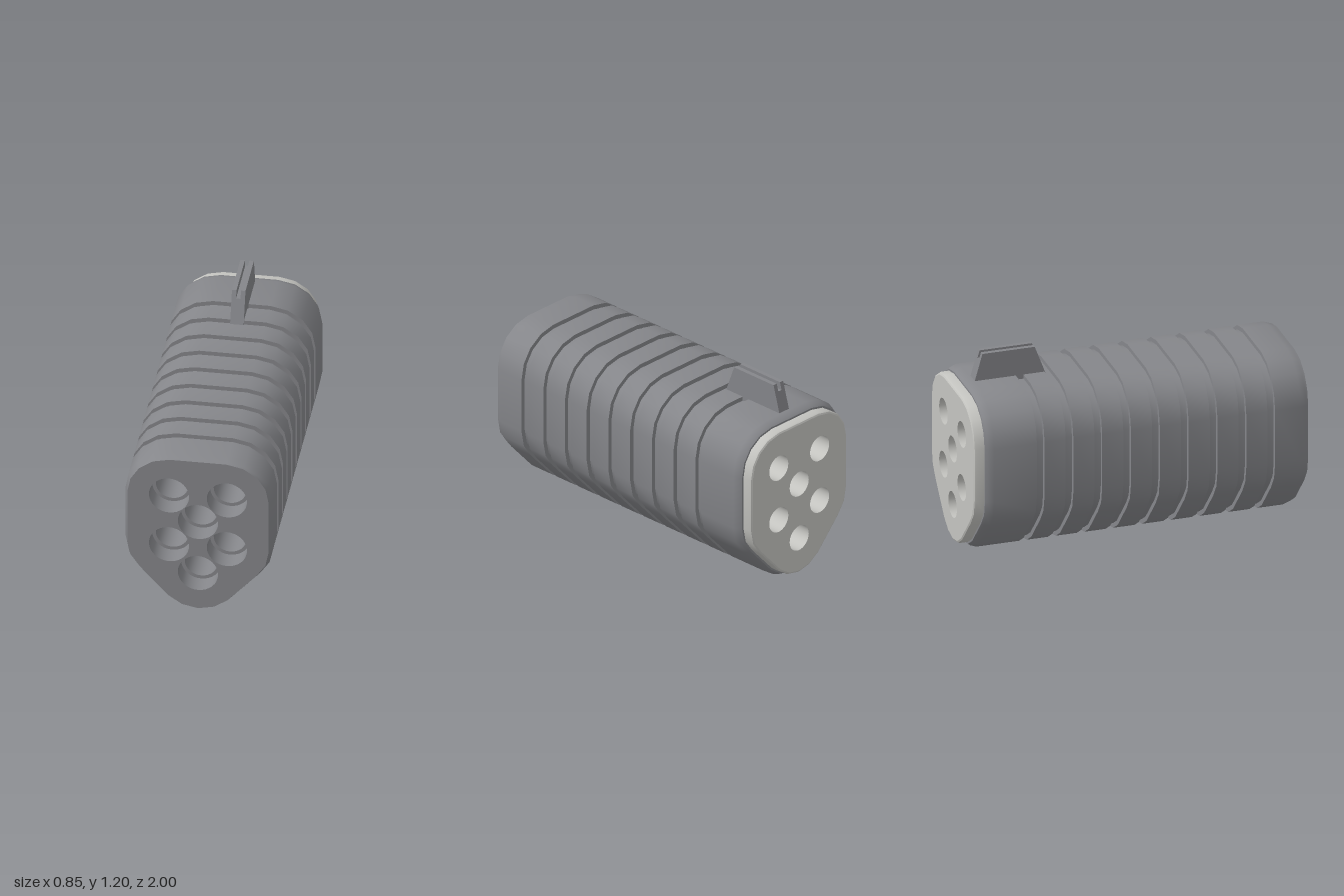
import * as THREE from 'three';
import { toCreasedNormals } from 'three/addons/utils/BufferGeometryUtils.js';

// Right half of the body cross-section, from bottom apex to top
const HALF = [[0, 0.004], [0.099, 0.025], [0.182, 0.08], [0.348, 0.262], [0.405, 0.344], [0.425, 0.446],
  [0.425, 0.778], [0.406, 0.875], [0.352, 0.957], [0.267, 1.014], [0.166, 1.036]];
const OUTLINE = [...HALF, ...HALF.slice(1).reverse().map(([x, y]) => [-x, y])];
const BORES = [[-0.167, 0.775], [0.167, 0.775], [0, 0.61], [-0.167, 0.442], [0.167, 0.442], [0, 0.262]];

// Outline moved inwards by d, with mitred corners
function inset(d) {
  const n = OUTLINE.length;
  const normal = (a, b) => new THREE.Vector2(b[1] - a[1], a[0] - b[0]).normalize();
  return OUTLINE.map((p, i) => {
    const n1 = normal(OUTLINE[(i + n - 1) % n], p);
    const n2 = normal(p, OUTLINE[(i + 1) % n]);
    const k = d / (1 + n1.dot(n2));
    return new THREE.Vector2(p[0] - (n1.x + n2.x) * k, p[1] - (n1.y + n2.y) * k);
  });
}

// Skin through [z, inset] sections, running from front to back
function loft(sections) {
  const n = OUTLINE.length, pos = [], idx = [];
  sections.forEach(([z, d]) => inset(d).forEach((p) => pos.push(p.x, p.y, z)));
  for (let i = 0; i < sections.length - 1; i++) {
    for (let j = 0; j < n; j++) {
      const a = i * n + j, b = i * n + (j + 1) % n;
      idx.push(a, a + n, b, b, a + n, b + n);
    }
  }
  const g = new THREE.BufferGeometry();
  g.setAttribute('position', new THREE.Float32BufferAttribute(pos, 3));
  g.setIndex(idx);
  return toCreasedNormals(g, 0.6);
}

// Flat end face pierced by the bores
function cap(z, d, r, facesBack) {
  const shape = new THREE.Shape(inset(d));
  for (const [x, y] of BORES) shape.holes.push(new THREE.Path().absarc(x, y, r, 0, Math.PI * 2, true));
  const g = new THREE.ShapeGeometry(shape, 16);
  if (facesBack) g.rotateY(Math.PI); // outline is symmetric in x
  return g.translate(0, 0, z);
}

// Inner wall turned about z from [radius, z] points
function bore(points) {
  const g = new THREE.LatheGeometry(points.map(([r, z]) => new THREE.Vector2(r, z)), 32);
  return toCreasedNormals(g.rotateX(Math.PI / 2), 0.6);
}

export function createModel() {
  const model = new THREE.Group();
  const darkGrey = new THREE.MeshStandardMaterial({ name: 'dark grey', color: 0x85868a, side: THREE.DoubleSide });
  const lightGrey = new THREE.MeshStandardMaterial({ name: 'light grey', color: 0xc4c4c0, side: THREE.DoubleSide });
  const add = (name, geometry, material, parent = model) => {
    const mesh = new THREE.Mesh(geometry, material);
    mesh.name = name;
    parent.add(mesh);
    return mesh;
  };

  // Ribbed body: bevelled ends and nine square grooves
  const sections = [[1, 0.017], [0.985, 0.012], [0.95, 0]];
  for (let i = 0; i < 9; i++) {
    const z = 0.796 - i * 0.173;
    sections.push([z, 0], [z, 0.026], [z - 0.046, 0.026], [z - 0.046, 0]);
  }
  sections.push([-0.89, 0], [-0.925, 0.012], [-0.938, 0.022]);
  add('body', loft(sections), darkGrey);
  add('frontFace', cap(1, 0.017, 0.116, false), darkGrey);
  add('bodyBackFace', cap(-0.938, 0.022, 0.095, true), darkGrey);

  // Light back plate
  add('backPlate', loft([[-0.93, 0.033], [-0.985, 0.033], [-0.995, 0.037], [-1, 0.046]]), lightGrey);
  add('backPlateFace', cap(-1, 0.046, 0.078, true), lightGrey);

  // Stepped bores, with narrower light liners towards the back
  BORES.forEach(([x, y]) => {
    const barrel = new THREE.Group();
    barrel.name = 'barrel';
    barrel.position.set(x, y, 0);
    add('barrelBore', bore([[0.116, 1], [0.116, 0.88], [0.095, 0.88], [0.095, -0.5]]), darkGrey, barrel);
    add('barrelLiner', bore([[0.095, -0.5], [0.078, -0.5], [0.078, -1]]), lightGrey, barrel);
    model.add(barrel);
  });

  // Tapered sight: two cheeks and a lower web forming the slot
  const sight = new THREE.Group();
  sight.name = 'sight';
  const sightSlab = (name, x0, x1, top) => {
    const t = (top - 1) / 0.2;
    const shape = new THREE.Shape([
      new THREE.Vector2(0.445, 1), new THREE.Vector2(0.89, 1),
      new THREE.Vector2(0.89 - 0.056 * t, top), new THREE.Vector2(0.445 + 0.075 * t, top),
    ]);
    const g = new THREE.ExtrudeGeometry(shape, { depth: x1 - x0, bevelEnabled: false });
    add(name, g.rotateY(Math.PI / 2).translate(x0, 0, 0), darkGrey, sight);
  };
  sightSlab('sightCheekRight', -0.039, -0.013, 1.2);
  sightSlab('sightWeb', -0.013, 0.013, 1.155);
  sightSlab('sightCheekLeft', 0.013, 0.039, 1.2);
  model.add(sight);

  return model;
}
